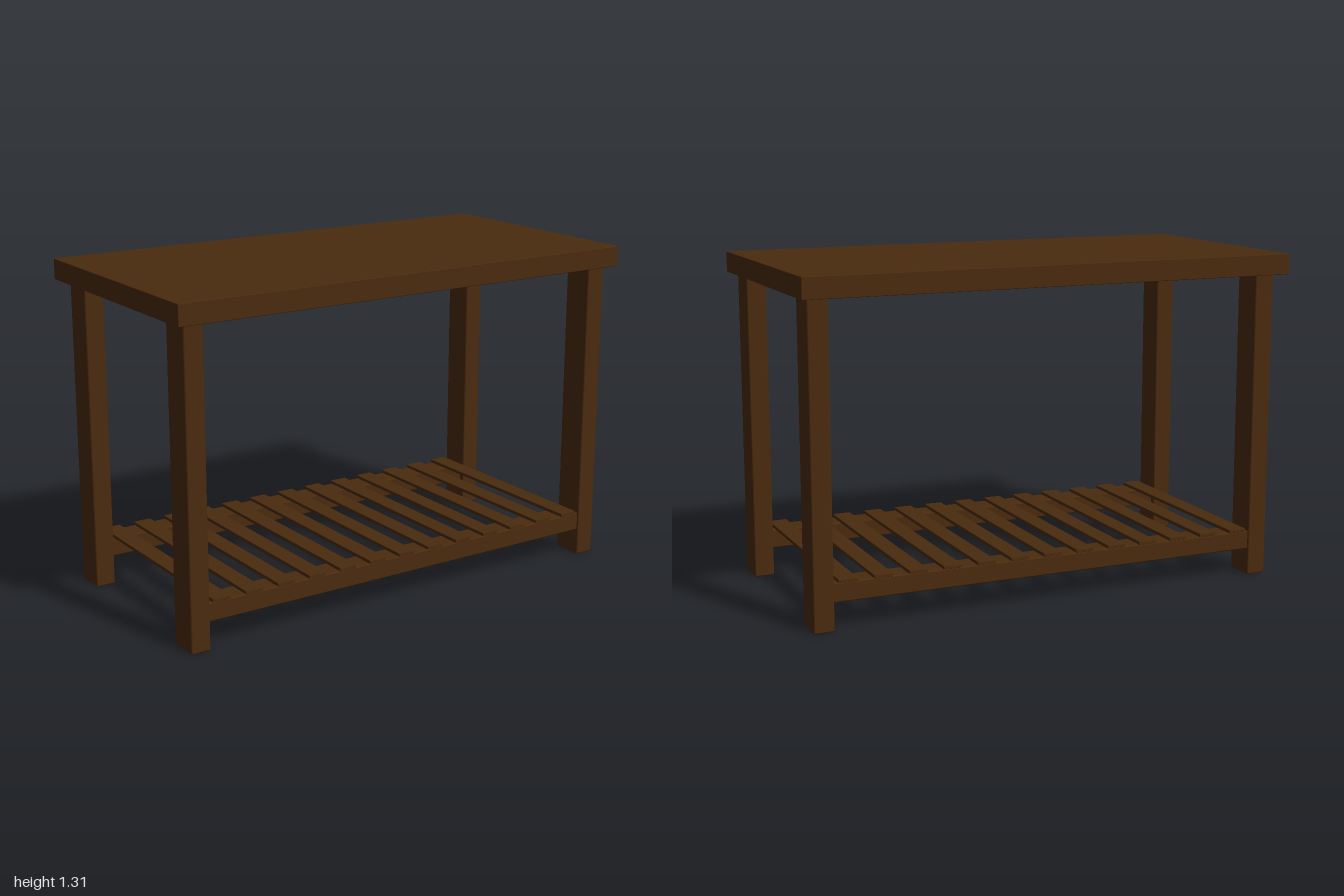
import * as THREE from 'three';
import { RoundedBoxGeometry } from 'three/addons/geometries/RoundedBoxGeometry.js';

export function createModel() {
  const table = new THREE.Group();
  table.name = 'slattedTable';

  const darkWood = new THREE.MeshStandardMaterial({ color: 0x4a2b0e });
  darkWood.name = 'darkWood';

  // Softly edged board given by its lower and upper limits on each axis
  function board(name, [x0, x1], [y0, y1], [z0, z1], edge) {
    const geometry = new RoundedBoxGeometry(x1 - x0, y1 - y0, z1 - z0, 2, edge);
    const mesh = new THREE.Mesh(geometry, darkWood);
    mesh.position.set((x0 + x1) / 2, (y0 + y1) / 2, (z0 + z1) / 2);
    mesh.name = name;
    table.add(mesh);
  }

  // Table top
  board('tableTop', [-1, 1], [1.23, 1.312], [-0.505, 0.505], 0.003);

  // Legs and long rails, front and back
  for (const [side, z] of [['front', 0.393], ['back', -0.393]]) {
    const depth = [z - 0.064, z + 0.064];
    board(side + 'RightLeg', [-0.957, -0.878], [0, 1.235], depth, 0.006);
    board(side + 'LeftLeg', [0.889, 0.968], [0, 1.235], depth, 0.006);
    const railZ = Math.sign(z) * 0.4;
    board(side + 'Rail', [-0.88, 0.891], [0.108, 0.183], [railZ - 0.05, railZ + 0.05], 0.006);
  }

  // Shelf slats resting on the rails
  const count = 13;
  for (let i = 0; i < count; i++) {
    const x = -0.826 + (i * 1.66) / (count - 1);
    board('shelfSlat' + (i + 1), [x - 0.037, x + 0.037], [0.182, 0.196], [-0.453, 0.453], 0.002);
  }

  return table;
}
